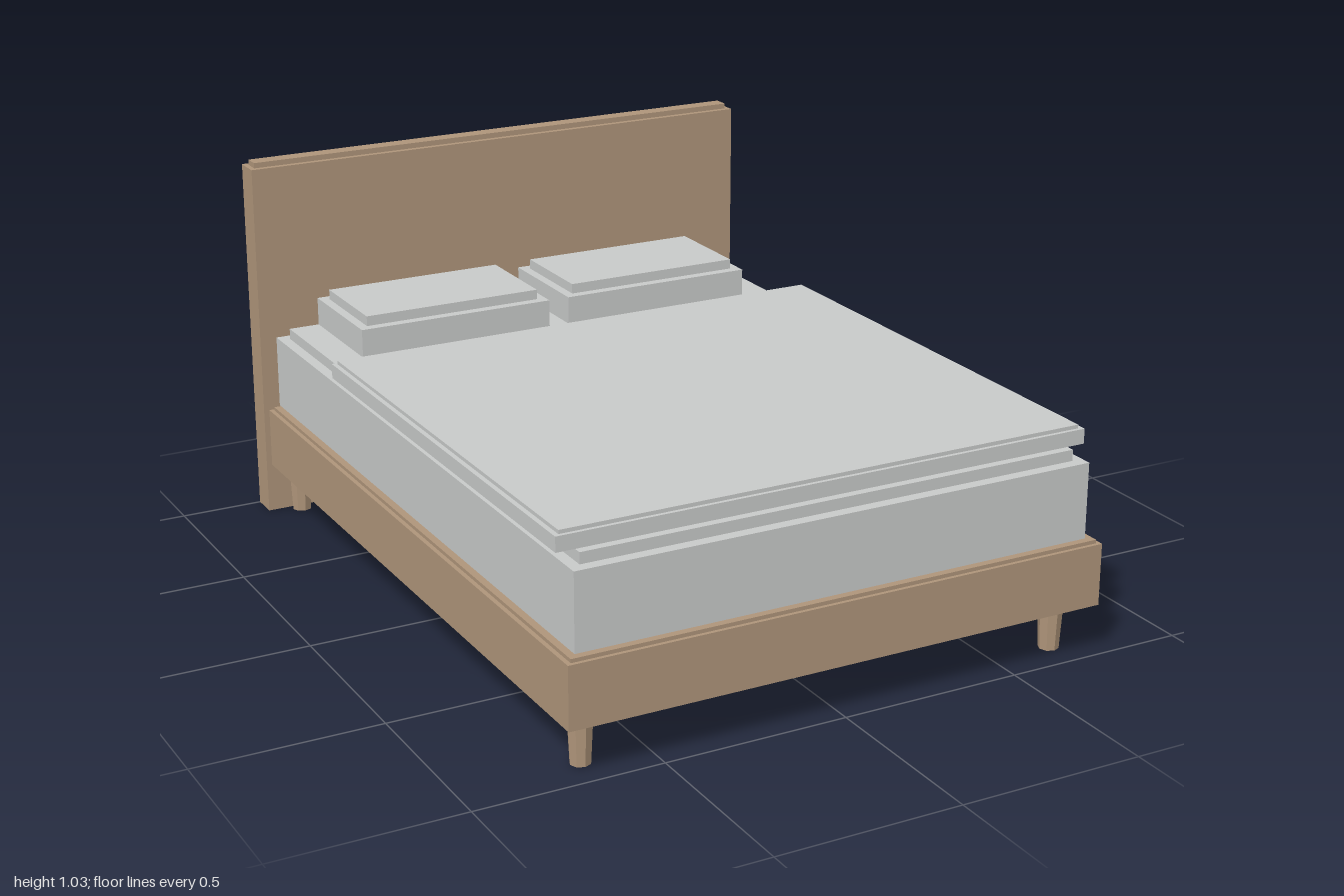
import * as THREE from 'three';

const wood = new THREE.MeshStandardMaterial({ name: 'wood', color: 0xb0967b, flatShading: true });
const linen = new THREE.MeshStandardMaterial({ name: 'linen', color: 0xc9cbca, flatShading: true });

// Box given by its limits on each axis
function slab(name, material, [x0, x1], [y0, y1], [z0, z1]) {
  const mesh = new THREE.Mesh(new THREE.BoxGeometry(x1 - x0, y1 - y0, z1 - z0), material);
  mesh.position.set((x0 + x1) / 2, (y0 + y1) / 2, (z0 + z1) / 2);
  mesh.name = name;
  return mesh;
}

// Slab with a thinner, inset layer on top
function stepped(name, material, x, y, z, topY, insetX, insetZ) {
  const group = new THREE.Group();
  group.name = name;
  group.add(
    slab(name + 'Body', material, x, y, z),
    slab(name + 'Top', material, [x[0] + insetX, x[1] - insetX], [y[1], topY], [z[0] + insetZ, z[1] - insetZ]),
  );
  return group;
}

export function createModel() {
  const bed = new THREE.Group();
  bed.name = 'bed';

  // Wooden headboard and base
  bed.add(stepped('headboard', wood, [-0.768, 0.768], [0, 1.02], [-1, -0.923], 1.035, 0.014, 0.016));
  bed.add(stepped('bedFrame', wood, [-0.752, 0.752], [0.14, 0.308], [-0.923, 1], 0.318, 0.012, 0.01));

  // Mattress and cover
  bed.add(stepped('mattress', linen, [-0.72, 0.72], [0.318, 0.523], [-0.922, 0.97], 0.553, 0.03, 0.03));
  bed.add(stepped('duvet', linen, [-0.74, 0.74], [0.553, 0.593], [-0.44, 0.918], 0.603, 0.013, 0.01));

  // Pillows
  bed.add(stepped('leftPillow', linen, [0.03, 0.602], [0.553, 0.632], [-0.892, -0.56], 0.66, 0.026, 0.027));
  bed.add(stepped('rightPillow', linen, [-0.602, -0.03], [0.553, 0.632], [-0.892, -0.56], 0.66, 0.026, 0.027));

  // Tapered legs
  const legGeometry = new THREE.CylinderGeometry(0.034, 0.027, 0.14, 8);
  for (const sx of [-1, 1]) {
    for (const z of [-0.9, 0.903]) {
      const leg = new THREE.Mesh(legGeometry, wood);
      leg.name = (z > 0 ? 'front' : 'back') + (sx > 0 ? 'Left' : 'Right') + 'Leg';
      leg.position.set(sx * 0.675, 0.07, z);
      bed.add(leg);
    }
  }
  return bed;
}
